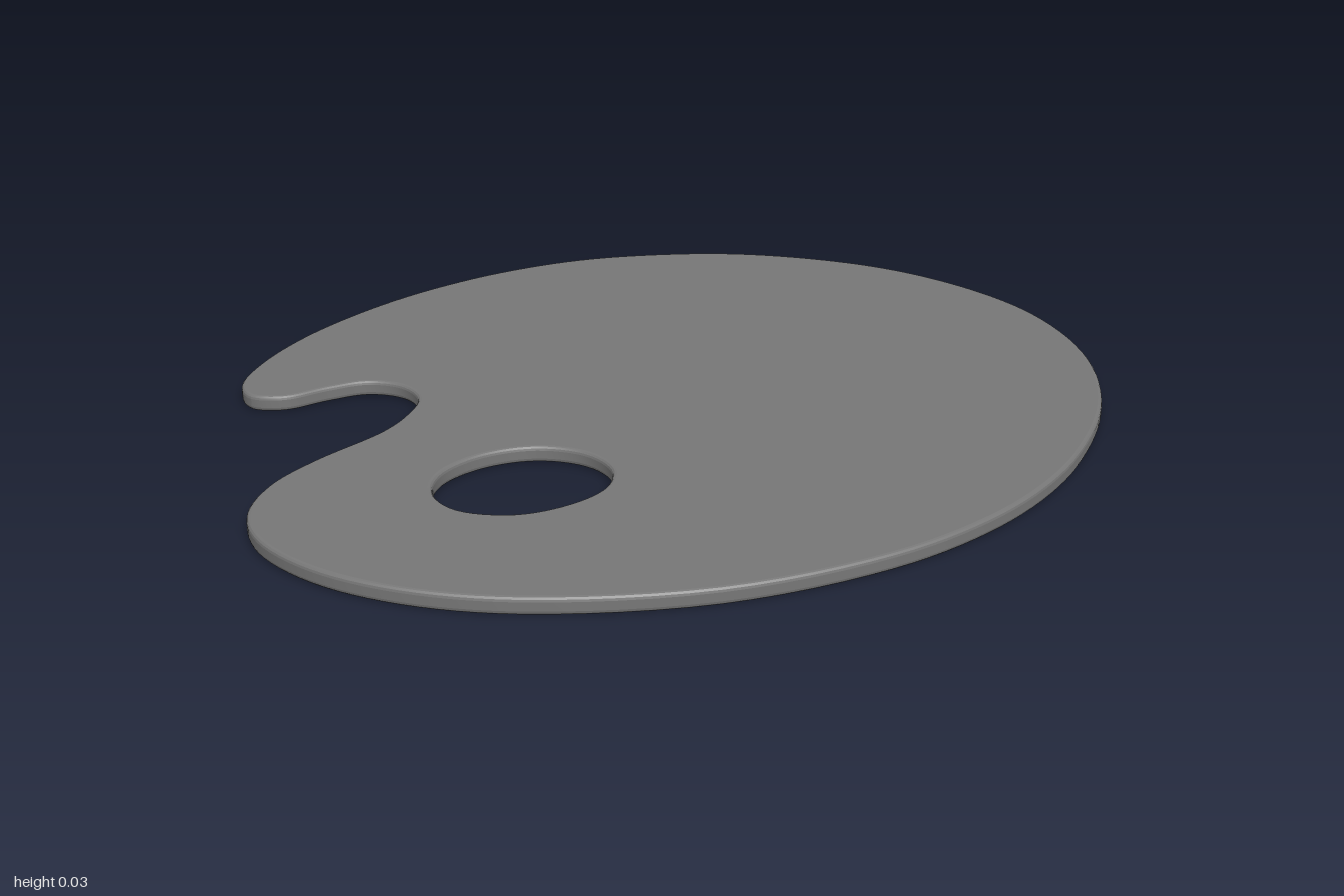
import * as THREE from 'three';
import { toCreasedNormals } from 'three/addons/utils/BufferGeometryUtils.js';

// Smooth closed loop through [x, z] points, as 2D points for a shape (y = -z)
function smoothLoop(points, divisions) {
  const curve = new THREE.CatmullRomCurve3(
    points.map(([x, z]) => new THREE.Vector3(x, -z, 0)), true, 'centripetal');
  return curve.getPoints(divisions).slice(0, -1).map(p => new THREE.Vector2(p.x, p.y));
}

export function createModel() {
  const group = new THREE.Group();
  group.name = 'paintPalette';

  // Board outline: rounded back, pointed lobe and finger notch at front right
  const outline = [
    [-0.01, -1], [0.21, -0.97], [0.41, -0.885], [0.61, -0.71], [0.75, -0.48], [0.82, -0.25],
    [0.845, -0.03], [0.828, 0.18], [0.762, 0.4], [0.6, 0.67], [0.36, 0.885], [0.18, 0.972],
    [0.01, 1], [-0.14, 0.974], [-0.235, 0.908], [-0.29, 0.803], [-0.306, 0.68],
    [-0.303, 0.5], [-0.325, 0.408], [-0.37, 0.325], [-0.445, 0.295], [-0.515, 0.32],
    [-0.555, 0.39], [-0.59, 0.48], [-0.65, 0.515], [-0.715, 0.48], [-0.775, 0.373],
    [-0.825, 0.2], [-0.845, 0], [-0.835, -0.2], [-0.785, -0.42], [-0.69, -0.62],
    [-0.55, -0.78], [-0.4, -0.892], [-0.2, -0.972],
  ];
  const board = new THREE.Shape(smoothLoop(outline, 210));

  // Slightly skewed thumb hole, wound opposite to the outline
  const thumbHole = [
    [-0.01, 0.39], [-0.068, 0.475], [-0.076, 0.578], [-0.03, 0.657], [0.055, 0.688],
    [0.15, 0.643], [0.2, 0.553], [0.207, 0.463], [0.165, 0.388], [0.08, 0.358],
  ];
  board.holes.push(new THREE.Path(smoothLoop(thumbHole, 60)));

  // Thin board with softened rims and flat faces
  const thickness = 0.032, bevel = 0.008;
  const geometry = new THREE.ExtrudeGeometry(board, {
    depth: thickness - 2 * bevel, bevelEnabled: true, bevelThickness: bevel,
    bevelSize: bevel, bevelOffset: -bevel, bevelSegments: 3,
  });
  geometry.rotateX(-Math.PI / 2);
  geometry.translate(0, bevel, 0);

  const mesh = new THREE.Mesh(
    toCreasedNormals(geometry, 0.22),
    new THREE.MeshStandardMaterial({ color: 0x777777 }));
  mesh.name = 'board';
  group.add(mesh);
  return group;
}
